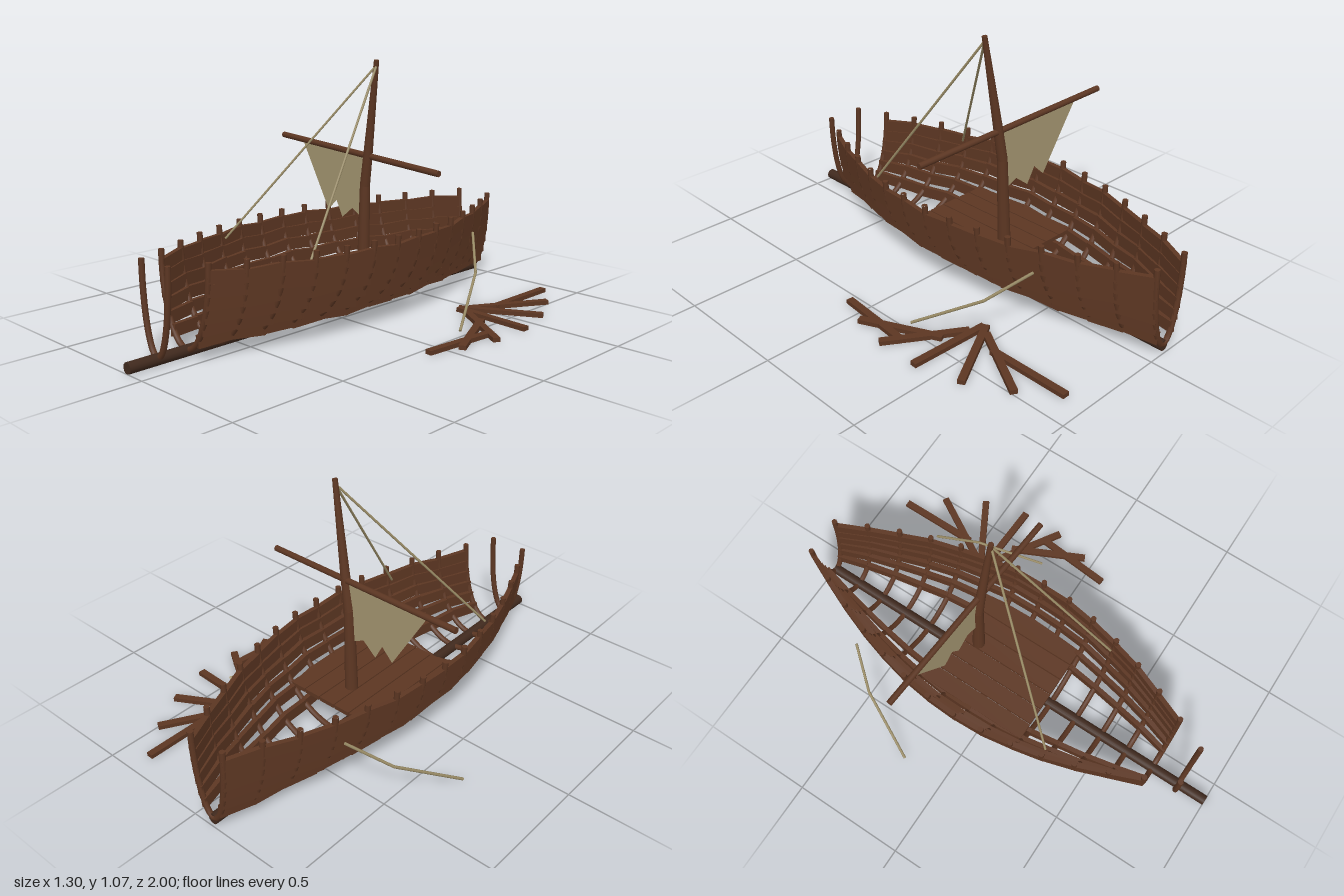
import * as THREE from 'three';

const V = (x, y, z) => new THREE.Vector3(x, y, z);
const mat = (name, color, side = THREE.FrontSide) => {
  const m = new THREE.MeshStandardMaterial({ color, side });
  m.name = name;
  return m;
};

export function createModel() {
  const wood = mat('weathered wood', 0x5c3622);
  const darkWood = mat('dark keel wood', 0x40291d);
  const cloth = mat('sail cloth', 0xa39570, THREE.DoubleSide);
  const rope = mat('rope', 0x9a8c66);

  const model = new THREE.Group();
  model.name = 'shipwreck';
  const group = (name) => {
    const g = new THREE.Group();
    g.name = name;
    model.add(g);
    return g;
  };
  const put = (parent, name, geo, material) => {
    const m = new THREE.Mesh(geo, material);
    m.name = name;
    parent.add(m);
    return m;
  };
  // Round spar from a to b, radius ra to rb
  const spar = (parent, name, a, b, ra, rb, material, sides = 10) => {
    const m = put(parent, name, new THREE.CylinderGeometry(rb, ra, a.distanceTo(b), sides), material);
    m.position.copy(a).lerp(b, 0.5);
    m.quaternion.setFromUnitVectors(V(0, 1, 0), b.clone().sub(a).normalize());
    return m;
  };
  // Flat board with its long axis from a to b
  const board = (parent, name, a, b, w, h, extra = 0) => {
    const m = put(parent, name, new THREE.BoxGeometry(w, h, a.distanceTo(b) + extra), wood);
    m.position.copy(a).lerp(b, 0.5);
    m.lookAt(b);
    return m;
  };

  // Hull section: a half ellipse whose width narrows towards both ends
  const CX = -0.09, STEP = 0.1323, RIBS = 15, BASE = 0.027, RISE = 0.363;
  const ribZ = (i) => -0.985 + i * STEP;
  const halfWidth = (z) => 0.347 * Math.cos(1.438 * (z + 0.062));

  // Keel
  spar(model, 'keel', V(CX, 0.023, -0.99), V(CX, 0.023, 1), 0.023, 0.023, darkWood, 12);

  // Ribs
  const ribs = group('ribs');
  for (let i = 0; i < RIBS; i++) {
    const z = ribZ(i), w = halfWidth(z), pts = [];
    for (let k = -8; k <= 8; k++) {
      const a = (k / 8) * Math.PI / 2;
      pts.push(V(CX + w * Math.sin(a), BASE + RISE * (1 - Math.cos(a)), z));
    }
    put(ribs, 'rib', new THREE.TubeGeometry(new THREE.CatmullRomCurve3(pts), 32, 0.012, 8), wood);
    for (const s of [-1, 1]) {
      const cap = put(ribs, 'ribTop', new THREE.CircleGeometry(0.012, 8), wood);
      cap.position.set(CX + s * w, BASE + RISE, z);
      cap.rotation.x = -Math.PI / 2;
    }
  }

  // Hull planks, one short board per strake between neighbouring ribs
  const planks = group('hullPlanks');
  for (const s of [-1, 1]) {
    for (let row = 0; row < 6; row++) {
      const y = 0.082 + row * 0.05;
      const f = Math.sqrt(1 - (1 - (y - BASE) / RISE) ** 2);
      for (let i = 0; i < 13; i++) {
        const tilt = 0.006 * Math.sin(i * 2.4 + row * 0.5 + s);
        const end = (k, dy) => V(CX + s * halfWidth(ribZ(k)) * f, y + dy, ribZ(k));
        board(planks, 'hullPlank', end(i, -tilt), end(i + 1, tilt), 0.02, 0.05, 0.012);
      }
    }
  }

  // Deck
  const deck = group('deck');
  for (let i = 0; i < 6; i++) {
    const x = CX + (i - 2.5) * 0.08;
    board(deck, 'deckPlank', V(x, 0.152, -0.33), V(x, 0.152, 0.2), 0.075, 0.018);
  }

  // Bent mast
  const mast = group('mast');
  const bends = [
    [V(-0.064, 0.145, -0.193), 0.028],
    [V(-0.05, 0.53, -0.187), 0.022],
    [V(-0.028, 0.67, -0.182), 0.02],
    [V(0.035, 1.065, -0.163), 0.011],
  ];
  for (let i = 0; i < 3; i++)
    spar(mast, 'mastSection', bends[i][0], bends[i + 1][0], bends[i][1], bends[i + 1][1], wood, 12);

  // Slanted yard
  spar(model, 'yard', V(-0.595, 0.69, -0.222), V(0.375, 0.638, -0.16), 0.013, 0.013, wood);

  // Torn sail hanging from the yard
  const outline = [[-0.46, 0.682], [-0.285, 0.39], [-0.232, 0.44], [-0.194, 0.37],
    [-0.13, 0.42], [-0.072, 0.39], [-0.04, 0.66]].map(([x, y]) => new THREE.Vector2(x, y));
  const sailGeo = new THREE.ShapeGeometry(new THREE.Shape(outline));
  const sp = sailGeo.attributes.position;
  for (let i = 0; i < sp.count; i++) sp.setZ(i, -0.193 + 0.064 * (sp.getX(i) + 0.14));
  sailGeo.computeVertexNormals();
  put(model, 'tornSail', sailGeo, cloth);

  // Stays and loose ropes on both sides
  const ropes = group('ropes');
  for (const s of [-1, 1]) {
    spar(ropes, 'stay', V(0.035, 1.045, -0.164), V(CX + s * 0.255, 0.34, 0.335), 0.005, 0.005, rope, 6);
    const path = [V(CX + s * 0.303, 0.3, -0.597), V(CX + s * 0.426, 0.17, -0.463), V(CX + s * 0.557, 0.007, -0.2)];
    for (let i = 0; i < 2; i++) spar(ropes, 'looseRope', path[i], path[i + 1], 0.006, 0.006, rope, 6);
  }

  // Fallen boards on the ground
  const debris = group('fallenBoards');
  [[0.377, -0.91, 0.377, -0.55], [0.495, -0.77, 0.315, -0.46], [0.59, -0.6, 0.28, -0.425],
    [0.642, -0.403, 0.285, -0.418], [0.64, -0.21, 0.345, -0.4], [0.6, -0.045, 0.45, -0.36],
    [0.541, 0.085, 0.573, -0.265]].forEach(([x1, z1, x2, z2]) =>
    board(debris, 'fallenBoard', V(x1, 0.009, z1), V(x2, 0.009, z2), 0.03, 0.018));

  return model;
}
